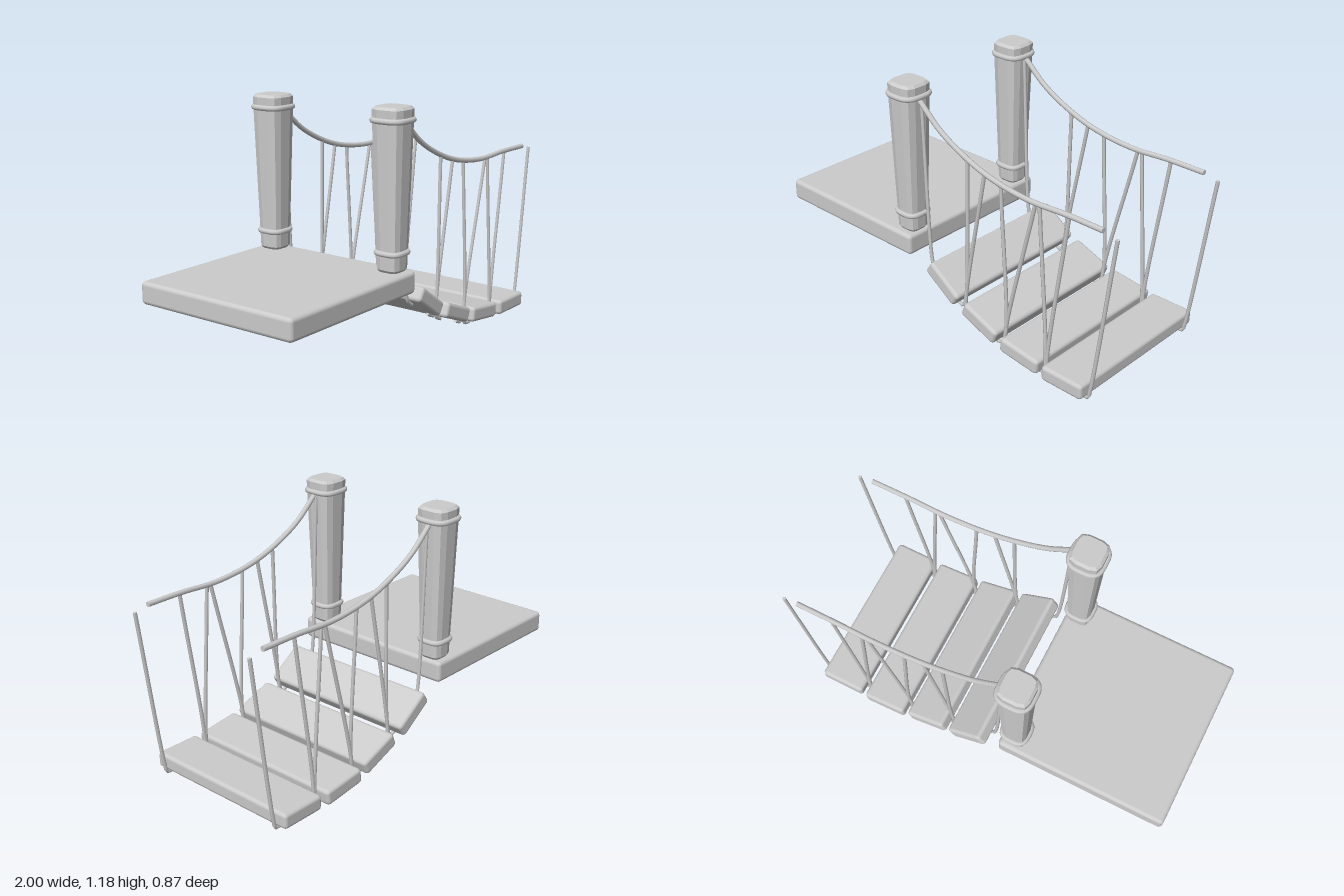
import * as THREE from 'three';
import { RoundedBoxGeometry } from 'three/addons/geometries/RoundedBoxGeometry.js';

const material = new THREE.MeshStandardMaterial({ color: 0xcccccc });
const flat = new THREE.MeshStandardMaterial({ color: 0xcccccc, flatShading: true });

function add(parent, name, geometry, mat = material) {
  const mesh = new THREE.Mesh(geometry, mat);
  mesh.name = name;
  parent.add(mesh);
  return mesh;
}

// Square outline with rounded corners, h = half width
function roundedSquare(h, r) {
  const s = new THREE.Shape();
  s.moveTo(h, r - h);
  s.lineTo(h, h - r).quadraticCurveTo(h, h, h - r, h);
  s.lineTo(r - h, h).quadraticCurveTo(-h, h, -h, h - r);
  s.lineTo(-h, r - h).quadraticCurveTo(-h, -h, r - h, -h);
  s.lineTo(h - r, -h).quadraticCurveTo(h, -h, h, r - h);
  return s;
}

// Rope along a curve, closed with a disc at each end
function rope(parent, name, curve, radius, segments, sides) {
  const group = new THREE.Group();
  group.name = name;
  add(group, 'strand', new THREE.TubeGeometry(curve, segments, radius, sides));
  for (const t of [0, 1]) {
    const cap = add(group, 'ropeEnd', new THREE.CircleGeometry(radius, sides));
    const out = curve.getTangentAt(t).multiplyScalar(t ? 1 : -1);
    cap.position.copy(curve.getPointAt(t));
    cap.quaternion.setFromUnitVectors(new THREE.Vector3(0, 0, 1), out);
  }
  parent.add(group);
}

// Tapered post, wider at the top, with a rope ring near each end
function createPost() {
  const post = new THREE.Group();
  post.name = 'post';
  const height = 0.74, bevel = 0.012;
  const shaft = new THREE.ExtrudeGeometry(roundedSquare(0.078, 0.045), {
    depth: height - 2 * bevel, curveSegments: 2,
    bevelSize: bevel, bevelThickness: bevel, bevelOffset: -bevel, bevelSegments: 1,
  });
  shaft.translate(0, 0, bevel).rotateX(-Math.PI / 2);
  const p = shaft.attributes.position;
  for (let i = 0; i < p.count; i++) {
    const k = THREE.MathUtils.lerp(0.72, 1, Math.min(p.getY(i) / 0.68, 1));
    p.setX(i, p.getX(i) * k);
    p.setZ(i, p.getZ(i) * k);
  }
  shaft.computeVertexNormals();
  add(post, 'shaft', shaft, flat);

  for (const [y, h] of [[0.68, 0.079], [0.088, 0.061]]) {
    const outline = roundedSquare(h, h * 0.75).getPoints(5).slice(0, -1);
    const path = new THREE.CatmullRomCurve3(outline.map(q => new THREE.Vector3(q.x, y, q.y)), true);
    add(post, 'ropeRing', new THREE.TubeGeometry(path, 40, 0.013, 8, true));
  }
  return post;
}

export function createModel() {
  const model = new THREE.Group();
  model.name = 'ropeBridge';

  // Landing platform
  add(model, 'platform', new RoundedBoxGeometry(0.86, 0.105, 0.858, 2, 0.02))
    .position.set(-0.57, 0.388, 0.004);

  // Hanging planks: x, y, length, tilt, z centre, width
  const planks = [
    [0.036, 0.243, 0.215, -0.6, -0.01, 0.83],
    [0.27, 0.131, 0.217, -0.365, -0.008, 0.825],
    [0.515, 0.07, 0.225, -0.12, -0.01, 0.83],
    [0.768, 0.055, 0.227, 0, -0.003, 0.825],
  ];
  for (const [x, y, length, tilt, z, width] of planks) {
    const plank = add(model, 'plank', new RoundedBoxGeometry(length, 0.075, width, 2, 0.018));
    plank.position.set(x, y, z);
    plank.rotation.z = tilt;
  }

  const rail = [[-0.13, 1.107], [0, 0.997], [0.166, 0.913], [0.32, 0.866],
    [0.52, 0.842], [0.73, 0.85], [0.92, 0.85]];

  // Hangers: top, bend beside the plank, corner, hooked end underneath
  const hangers = [
    [[-0.128, 1.1], [-0.085, 0.295], [-0.072, 0.262], [-0.04, 0.238]],
    [[0.166, 0.908], [0.145, 0.195], [0.125, 0.146], [0.075, 0.168]],
    [[0.267, 0.875], [0.145, 0.18], [0.15, 0.133], [0.185, 0.114]],
    [[0.363, 0.857], [0.393, 0.1], [0.365, 0.053], [0.32, 0.066]],
    [[0.56, 0.838], [0.392, 0.08], [0.405, 0.036], [0.445, 0.031]],
    [[0.583, 0.838], [0.636, 0.07], [0.628, 0.02], [0.59, 0.018]],
    [[0.743, 0.847], [0.643, 0.05], [0.654, 0.01], [0.69, 0.009]],
    [[0.992, 0.835], [0.889, 0.045], [0.878, 0.009], [0.84, 0.009]],
  ];

  for (const side of [1, -1]) {
    const post = createPost();
    post.position.set(-0.204, 0.44, side * 0.345);
    model.add(post);

    const curve = (points, z) =>
      new THREE.CatmullRomCurve3(points.map(([x, y]) => new THREE.Vector3(x, y, side * z)));
    rope(model, 'handRope', curve(rail, 0.352), 0.0125, 32, 8);
    hangers.forEach((points, i) =>
      rope(model, 'hangerRope', curve(points, i ? 0.352 : 0.341), 0.009, 48, 6));
  }
  return model;
}
